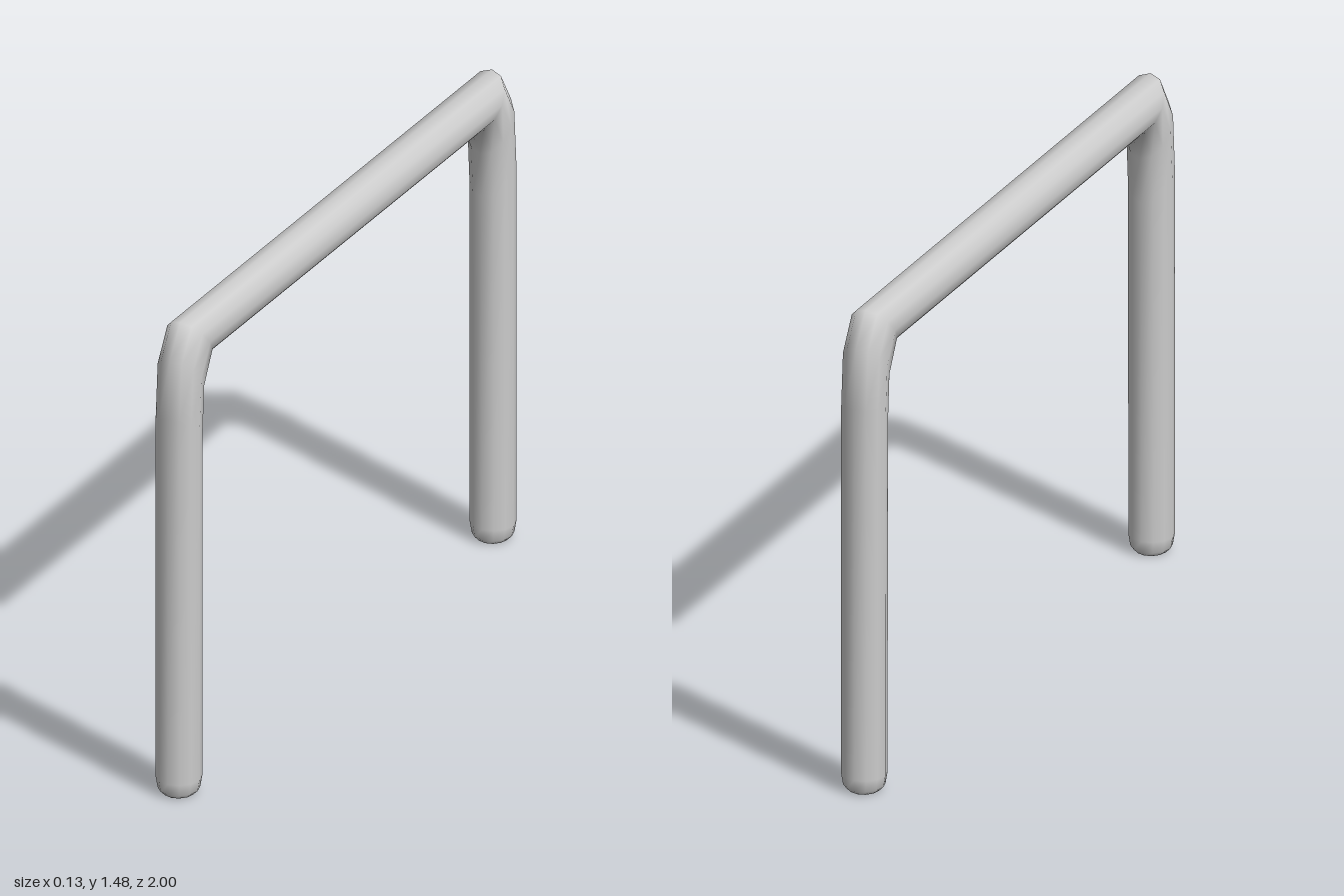
import * as THREE from 'three';

const SIDES = 12;

// Closed tube skinned over rings of { outer: [z, y], inner: [z, y], half: x half-width }
function skinRings(rings) {
  const pos = [], index = [];
  const mid = (r) => [0, (r.outer[1] + r.inner[1]) / 2, (r.outer[0] + r.inner[0]) / 2];
  rings.forEach((r) => {
    const [, cy, cz] = mid(r);
    for (let j = 0; j < SIDES; j++) {
      const a = (j / SIDES) * Math.PI * 2;
      pos.push(r.half * Math.sin(a),
        cy + (r.outer[1] - cy) * Math.cos(a),
        cz + (r.outer[0] - cz) * Math.cos(a));
    }
  });
  const last = rings.length - 1, start = rings.length * SIDES;
  pos.push(...mid(rings[0]), ...mid(rings[last]));
  for (let j = 0; j < SIDES; j++) {
    const k = (j + 1) % SIDES;
    for (let i = 0; i < last; i++) {
      const a = i * SIDES, b = a + SIDES;
      index.push(a + j, a + k, b + k, a + j, b + k, b + j);
    }
    // end caps
    index.push(start, k, j, start + 1, last * SIDES + j, last * SIDES + k);
  }
  const geo = new THREE.BufferGeometry();
  geo.setAttribute('position', new THREE.Float32BufferAttribute(pos, 3));
  geo.setIndex(index);
  geo.computeVertexNormals();
  return geo;
}

export function createModel() {
  const group = new THREE.Group();
  group.name = 'barFrame';

  // Front leg from the foot up through the bevelled bend to the top bar
  const half = [
    { outer: [0.98, 0], inner: [0.885, 0], half: 0.045 },
    { outer: [0.995, 0.015], inner: [0.871, 0.015], half: 0.06 },
    { outer: [1, 0.05], inner: [0.866, 0.05], half: 0.066 },
    { outer: [1, 1.2], inner: [0.864, 1.1], half: 0.066 },
    { outer: [0.987, 1.38], inner: [0.855, 1.24], half: 0.066 },
    { outer: [0.927, 1.476], inner: [0.808, 1.333], half: 0.066 },
  ];
  // Back leg mirrors the front one
  const mirrored = half.map((r) => ({
    outer: [-r.outer[0], r.outer[1]],
    inner: [-r.inner[0], r.inner[1]],
    half: r.half,
  })).reverse();

  const tube = new THREE.Mesh(
    skinRings([...half, ...mirrored]),
    new THREE.MeshStandardMaterial({ color: 0xcccccc }),
  );
  tube.name = 'bentTube';
  group.add(tube);
  return group;
}
